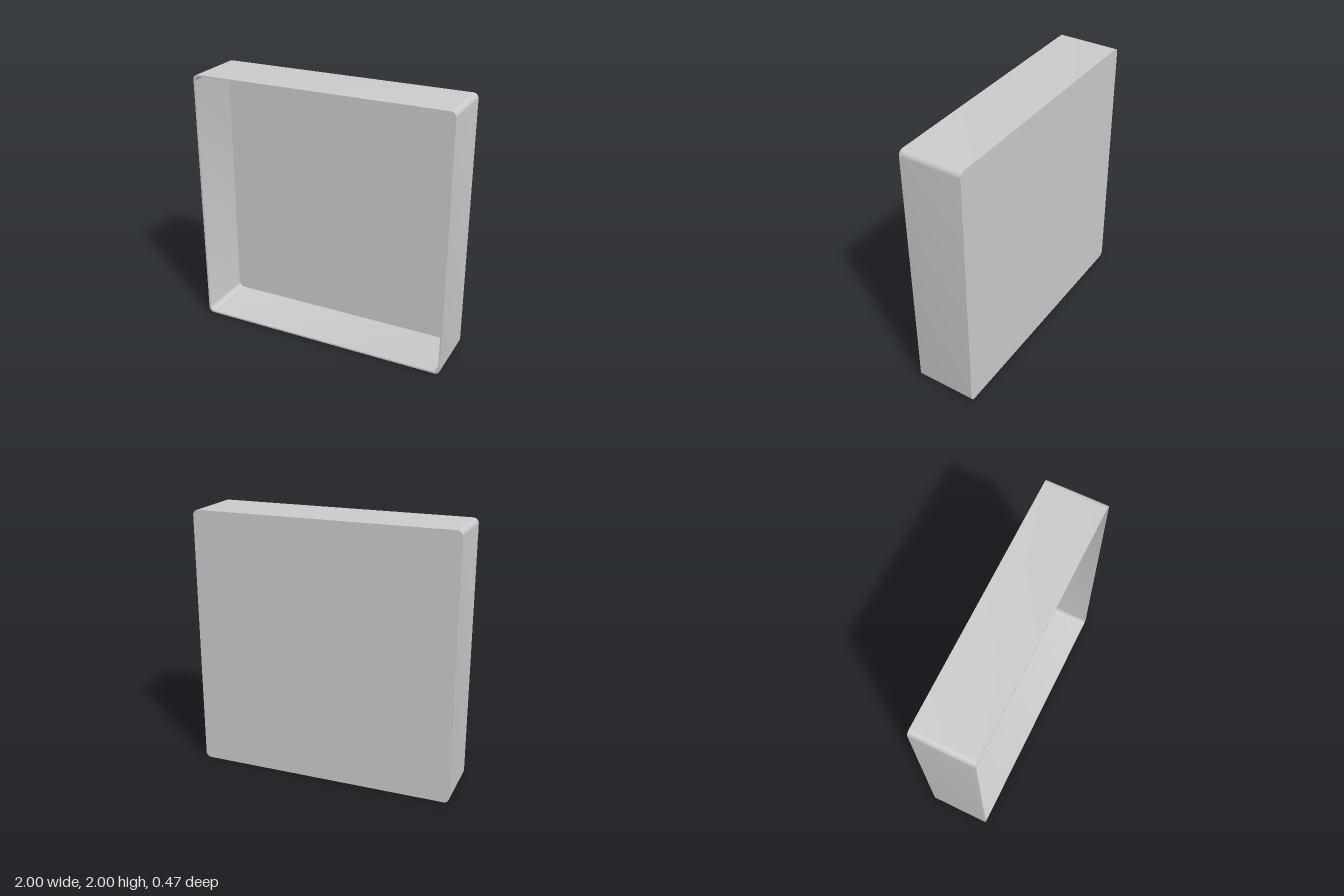
import * as THREE from 'three';
import { toCreasedNormals } from 'three/addons/utils/BufferGeometryUtils.js';

const SIZE = 2, DEPTH = 0.465, WALL = 0.013, FLOOR = 0.015;
const CORNER_STEPS = 10;

// Rounded square loop, counter-clockwise seen from the front
function loop(half, radius, z) {
  const points = [];
  for (let corner = 0; corner < 4; corner++) {
    const mid = (corner + 0.5) * Math.PI / 2;
    const cx = Math.sign(Math.cos(mid)) * (half - radius);
    const cy = Math.sign(Math.sin(mid)) * (half - radius);
    for (let i = 0; i <= CORNER_STEPS; i++) {
      const a = (corner + i / CORNER_STEPS) * Math.PI / 2;
      points.push([cx + radius * Math.cos(a), cy + radius * Math.sin(a) + SIZE / 2, z]);
    }
  }
  return points;
}

// Skins a series of loops and closes both ends with flat caps
function skin(loops) {
  const n = loops[0].length;
  const positions = loops.flat(2);
  const index = [];
  for (let l = 0; l < loops.length - 1; l++) {
    for (let i = 0; i < n; i++) {
      const j = (i + 1) % n;
      const a = l * n + i, b = l * n + j;
      index.push(a, b, b + n, a, b + n, a + n);
    }
  }
  const last = (loops.length - 1) * n;
  for (let i = 1; i < n - 1; i++) {
    index.push(0, i + 1, i);
    index.push(last, last + i, last + i + 1);
  }
  const geometry = new THREE.BufferGeometry();
  geometry.setAttribute('position', new THREE.Float32BufferAttribute(positions, 3));
  geometry.setIndex(index);
  return toCreasedNormals(geometry, 0.6);
}

export function createModel() {
  const group = new THREE.Group();
  group.name = 'openTray';
  const outer = SIZE / 2, inner = outer - WALL;
  const front = DEPTH / 2, back = -DEPTH / 2;

  // Thin-walled tray: back panel, outer walls, rim, inner walls, inner floor
  const tray = new THREE.Mesh(
    skin([
      loop(outer, 0.04, back),
      loop(outer, 0.04, front),
      loop(inner, 0.045, front),
      loop(inner, 0.045, back + FLOOR),
    ]),
    new THREE.MeshStandardMaterial({ color: 0xcccccc })
  );
  tray.name = 'tray';
  group.add(tray);
  return group;
}
